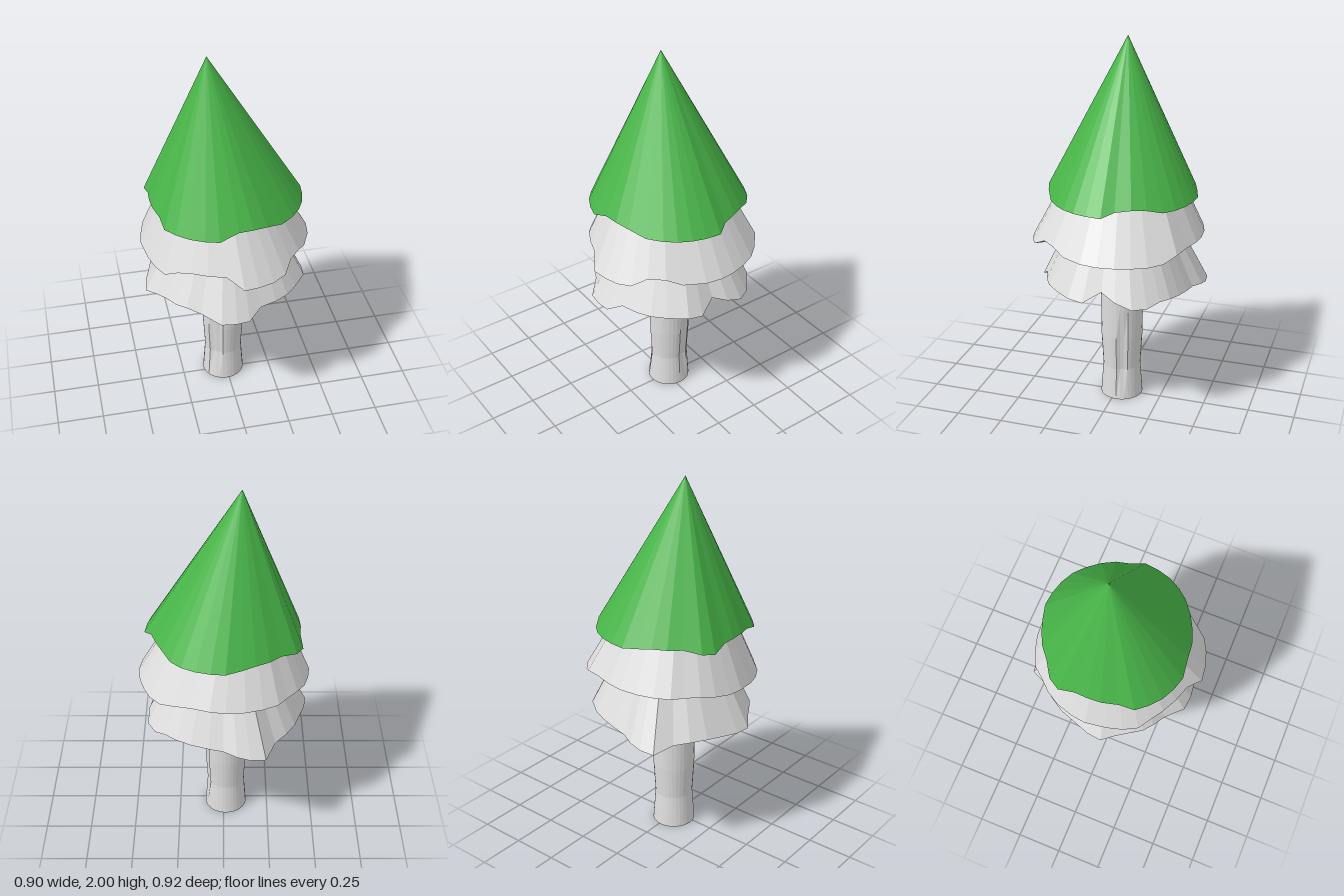
import * as THREE from 'three';

const green = new THREE.MeshStandardMaterial({ color: 0x49b649, flatShading: true });
green.name = 'leaf green';
const grey = new THREE.MeshStandardMaterial({ color: 0xdedede, flatShading: true });
grey.name = 'pale grey';

// Ragged rims, as x, z, y triples running anticlockwise from +x
const TOP_RIM = [
  .41, -.04, 1.19, .37, -.1, 1.215, .345, -.18, 1.225, .31, -.25, 1.22, .265, -.32, 1.2, .21, -.37, 1.2, .14, -.405, 1.2, .065, -.425, 1.2,
  -.01, -.432, 1.2, -.09, -.41, 1.21, -.16, -.385, 1.22, -.23, -.35, 1.22, -.29, -.3, 1.22, -.37, -.25, 1.2, -.405, -.19, 1.19, -.395, -.1, 1.215,
  -.4, -.03, 1.22, -.395, .045, 1.22, -.37, .13, 1.21, -.36, .21, 1.19, -.31, .27, 1.19, -.25, .32, 1.19, -.18, .355, 1.19, -.11, .375, 1.19,
  -.01, .362, 1.225, .065, .355, 1.225, .14, .33, 1.215, .23, .285, 1.19, .3, .23, 1.19, .345, .175, 1.19, .38, .11, 1.19, .4, .04, 1.19,
];
const MIDDLE_RIM = [
  .45, -.03, .945, .44, -.12, .945, .415, -.2, .945, .38, -.275, .945, .325, -.34, .95, .26, -.395, .98, .165, -.42, .985, .07, -.45, .985,
  -.01, -.457, .98, -.11, -.45, .98, -.2, -.425, .98, -.28, -.385, .98, -.325, -.33, .98, -.38, -.27, .98, -.42, -.2, .965, -.445, -.11, .95,
  -.455, -.03, .95, -.435, .08, .935, -.41, .165, .93, -.37, .24, .93, -.31, .285, .965, -.25, .33, .985, -.17, .37, .985, -.08, .4, .985,
  0, .455, .93, .08, .445, .93, .16, .42, .93, .23, .38, .94, .275, .31, .98, .335, .24, .98, .385, .17, .95, .435, .06, .945,
];
const LOWER_RIM = [
  .37, -.03, .775, .4, -.11, .74, .4, -.2, .71, .36, -.27, .71, .3, -.32, .73, .25, -.36, .73, .17, -.39, .72, .08, -.41, .71,
  0, -.42, .7, -.07, -.453, .69, -.14, -.46, .675, -.22, -.45, .67, -.27, -.35, .7, -.33, -.29, .71, -.38, -.21, .71, -.41, -.12, .7,
  -.44, -.03, .69, -.45, .05, .69, -.4, .12, .71, -.36, .19, .73, -.32, .25, .73, -.27, .29, .73, -.2, .33, .71, -.11, .41, .685,
  -.03, .42, .685, .04, .41, .685, .11, .36, .73, .2, .33, .73, .27, .29, .73, .33, .23, .73, .4, .14, .73, .41, .06, .72,
];

function makeMesh(name, triangles, material) {
  const geometry = new THREE.BufferGeometry().setFromPoints(triangles);
  geometry.computeVertexNormals();
  const mesh = new THREE.Mesh(geometry, material);
  mesh.name = name;
  return mesh;
}

// A foliage cone with an off-centre tip and a closed underside
function makeTier(name, rim, tip, baseY, material) {
  const points = [];
  for (let i = 0; i < rim.length; i += 3) points.push(new THREE.Vector3(rim[i], rim[i + 2], rim[i + 1]));
  const apex = new THREE.Vector3(...tip);
  const base = new THREE.Vector3(0, baseY, -.02);
  const triangles = [];
  points.forEach((p, i) => {
    const next = points[(i + 1) % points.length];
    triangles.push(p, next, apex, next, p, base);
  });
  return makeMesh(name, triangles, material);
}

// Round trunk with a slightly pinched shaft and shallow bark dents
function makeTrunk() {
  const rows = [[0, .116], [.18, .103], [.36, .113], [.55, .115], [.75, .116]];
  const sides = 32;
  const rings = rows.map(([y, radius], row) => Array.from({ length: sides }, (_, i) => {
    const angle = i / sides * Math.PI * 2;
    const dented = (row === 1 || row === 2) && ((i >= 20 && i <= 22) || i === 1 || i === 2);
    const r = radius - (dented ? .01 : 0);
    return new THREE.Vector3(-.013 + r * Math.cos(angle), y, -.024 - r * Math.sin(angle));
  }));
  const foot = new THREE.Vector3(-.013, 0, -.024);
  const triangles = [];
  for (let i = 0; i < sides; i++) {
    const j = (i + 1) % sides;
    triangles.push(rings[0][j], rings[0][i], foot);
    for (let k = 0; k < rows.length - 1; k++) {
      const lower = rings[k], upper = rings[k + 1];
      triangles.push(lower[i], lower[j], upper[j], lower[i], upper[j], upper[i]);
    }
  }
  return makeMesh('trunk', triangles, grey);
}

export function createModel() {
  const tree = new THREE.Group();
  tree.name = 'tree';
  tree.add(
    makeTrunk(),
    makeTier('lowerFoliage', LOWER_RIM, [0, 1.59, -.02], .72, grey),
    makeTier('middleFoliage', MIDDLE_RIM, [-.08, 1.86, -.03], .96, grey),
    makeTier('topFoliage', TOP_RIM, [-.09, 2, -.03], 1.21, green),
  );
  return tree;
}
